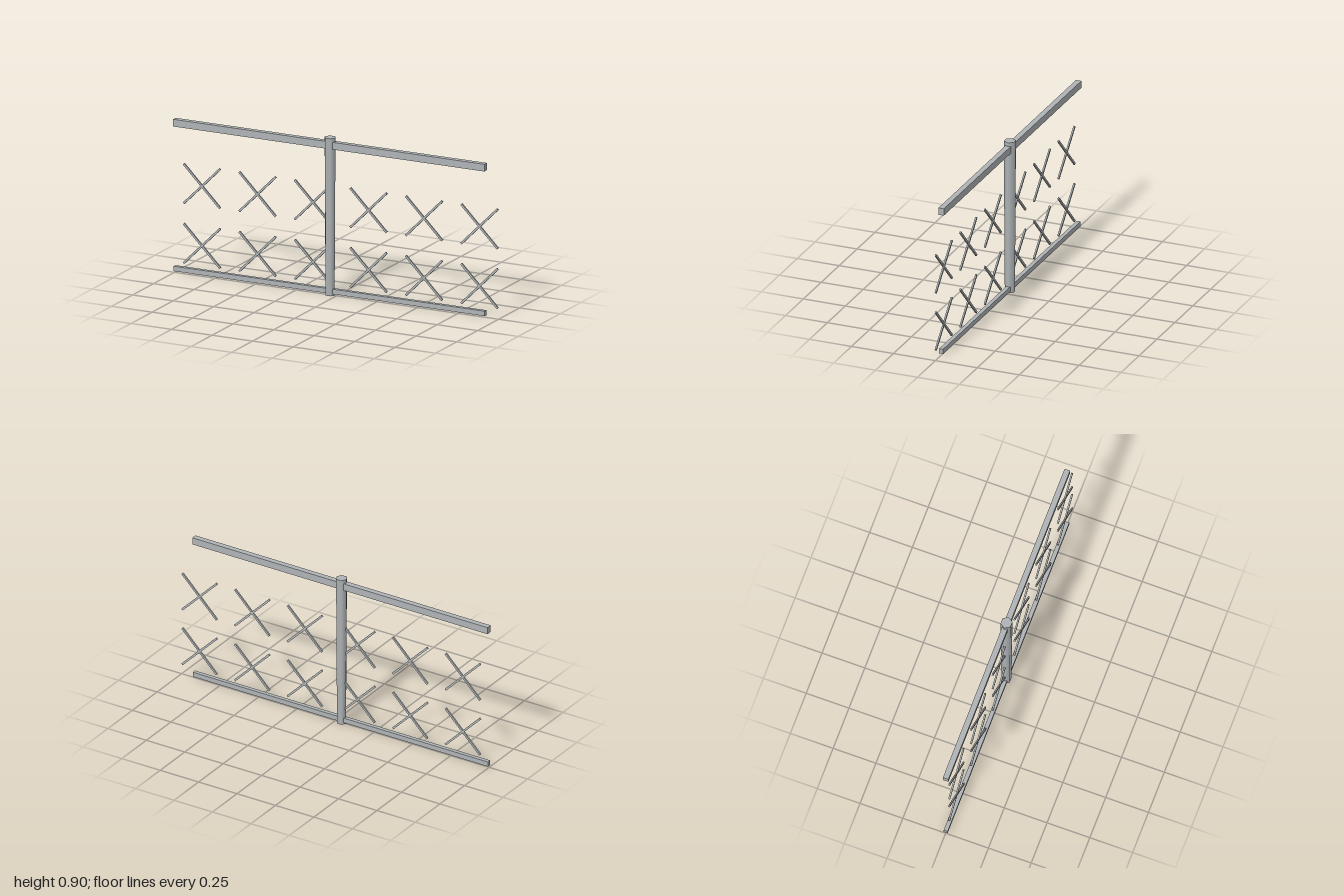
import * as THREE from 'three';

export function createModel() {
  const group = new THREE.Group();
  const steel = new THREE.MeshStandardMaterial({ color: 0xb0b4b6 });
  steel.name = 'galvanised grey';

  const add = (name, geometry, x, y, parent = group) => {
    const mesh = new THREE.Mesh(geometry, steel);
    mesh.name = name;
    mesh.position.set(x, y, 0);
    parent.add(mesh);
    return mesh;
  };

  // Six-sided post, slightly wider at the top, with corners pointing along x
  const post = new THREE.CylinderGeometry(0.0335, 0.028, 0.9, 6);
  post.rotateY(Math.PI / 6);
  add('post', post, -0.04, 0.45);

  // Horizontal rails
  add('topRail', new THREE.BoxGeometry(1.92, 0.041, 0.032), -0.04, 0.857);
  add('bottomRail', new THREE.BoxGeometry(1.92, 0.028, 0.023), -0.04, 0.024);

  // Two rows of crossed bars
  const bar = new THREE.BoxGeometry(0.318, 0.012, 0.009);
  for (const y of [0.174, 0.515]) {
    for (let i = 0; i < 6; i++) {
      const cross = new THREE.Group();
      cross.name = 'meshCross';
      cross.position.set(-0.83 + i * 0.3425, y, 0);
      for (const side of [-1, 1]) {
        add('crossBar', bar, 0, 0, cross).rotation.z = side * Math.PI / 4;
      }
      group.add(cross);
    }
  }
  return group;
}
